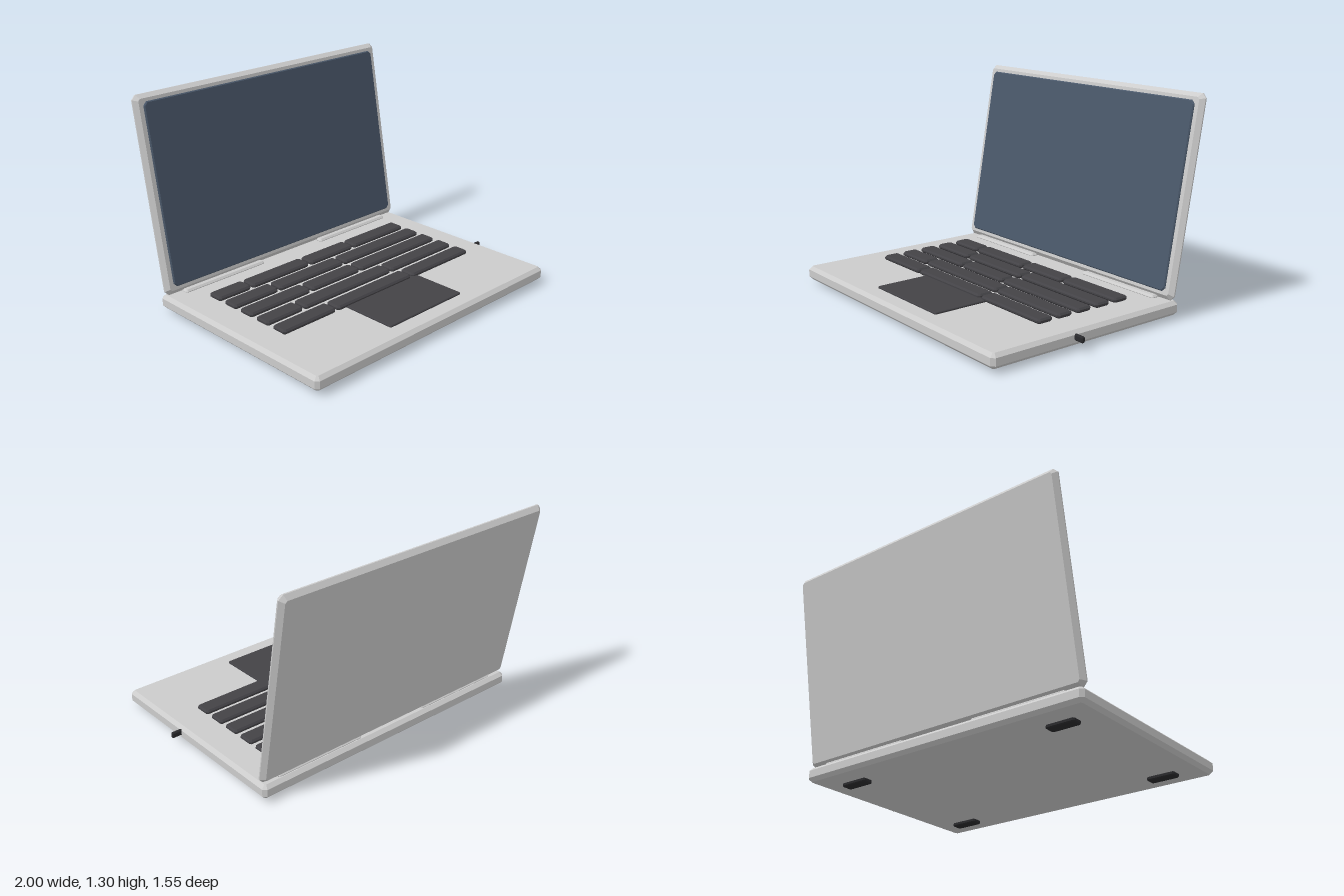
import * as THREE from 'three';

const CX = -0.03; // middle of the body; the side plug sticks out to +x

const mat = (color) => new THREE.MeshStandardMaterial({ color, flatShading: true });
const body = mat(0xcccccc);
const dark = mat(0x434246);
const black = mat(0x2a2a2d);
const glass = mat(0x4a586a);

// Slab with cut corners, w by h in its plane, t thick along z, chamfered by c, centred
function slab(w, h, t, c, cut) {
  const x = w / 2 - c, y = h / 2 - c, k = cut;
  const shape = new THREE.Shape([
    [x - k, -y], [x, -y + k], [x, y - k], [x - k, y],
    [-x + k, y], [-x, y - k], [-x, -y + k], [-x + k, -y],
  ].map(([a, b]) => new THREE.Vector2(a, b)));
  const g = new THREE.ExtrudeGeometry(shape, {
    depth: t - 2 * c, bevelEnabled: true, bevelSize: c, bevelThickness: c, bevelSegments: 1,
  });
  return g.translate(0, 0, -(t - 2 * c) / 2);
}

// Flat-lying slab between given bounds
function plate(name, material, [x0, x1], [y0, y1], [z0, z1], c, cut) {
  const g = slab(x1 - x0, z1 - z0, y1 - y0, c, cut).rotateX(-Math.PI / 2);
  const m = new THREE.Mesh(g, material);
  m.name = name;
  m.position.set((x0 + x1) / 2, (y0 + y1) / 2, (z0 + z1) / 2);
  return m;
}

export function createModel() {
  const model = new THREE.Group();
  model.name = 'laptop';

  // Lower case
  model.add(plate('base', body, [-1, 0.94], [0.022, 0.109], [-0.59, 0.775], 0.021, 0.008));

  // Keyboard: each row lists the left and right limits of its keys
  const keyboard = new THREE.Group();
  keyboard.name = 'keyboard';
  const rows = [
    [-0.815, -0.575, -0.562, -0.105, -0.09, 0.277, 0.292, 0.752],
    [-0.815, -0.483, -0.468, 0.056, 0.07, 0.752],
    [-0.815, -0.355, -0.34, 0.056, 0.07, 0.752],
    [-0.815, -0.543, -0.528, 0.184, 0.196, 0.752],
    [-0.815, -0.418, -0.404, 0.216, 0.228, 0.752],
  ];
  rows.forEach((row, r) => {
    const z = -0.307 + r * 0.1425;
    for (let i = 0; i < row.length; i += 2) {
      keyboard.add(plate('key', dark, [row[i], row[i + 1]], [0.109, 0.138], [z - 0.053, z + 0.053], 0.01, 0.008));
    }
  });
  model.add(keyboard);

  // Touchpad
  model.add(plate('touchpad', dark, [-0.333, 0.272], [0.1, 0.12], [0.285, 0.66], 0.004, 0.004));

  // Hinge strips and feet, mirrored about the middle
  for (const s of [-1, 1]) {
    const span = (a, b) => [CX + s * a, CX + s * b].sort((p, q) => p - q);
    model.add(plate('hinge', body, span(0.242, 0.85), [0.1, 0.125], [-0.565, -0.49], 0.011, 0.003));
    for (const z of [0.595, -0.41]) {
      model.add(plate('foot', black, span(0.64, 0.82), [0, 0.024], [z - 0.036, z + 0.036], 0.006, 0.006));
    }
  }

  // Small plug on the left flank
  const plug = new THREE.Mesh(slab(0.022, 0.036, 0.08, 0.005, 0.003).rotateY(Math.PI / 2), black);
  plug.name = 'plug';
  plug.position.set(0.96, 0.074, 0.213);
  model.add(plug);

  // Lid leaning back, with the screen on its front
  const lid = new THREE.Group();
  lid.name = 'lid';
  lid.position.set(CX, 0.704, -0.643);
  lid.rotation.x = -0.173;
  const shell = new THREE.Mesh(slab(1.94, 1.2, 0.058, 0.025, 0.012), body);
  shell.name = 'lidShell';
  const screen = new THREE.Mesh(slab(1.835, 1.11, 0.02, 0.006, 0.018), glass);
  screen.name = 'screen';
  screen.position.set(0, 0, 0.03);
  lid.add(shell, screen);
  model.add(lid);

  return model;
}
